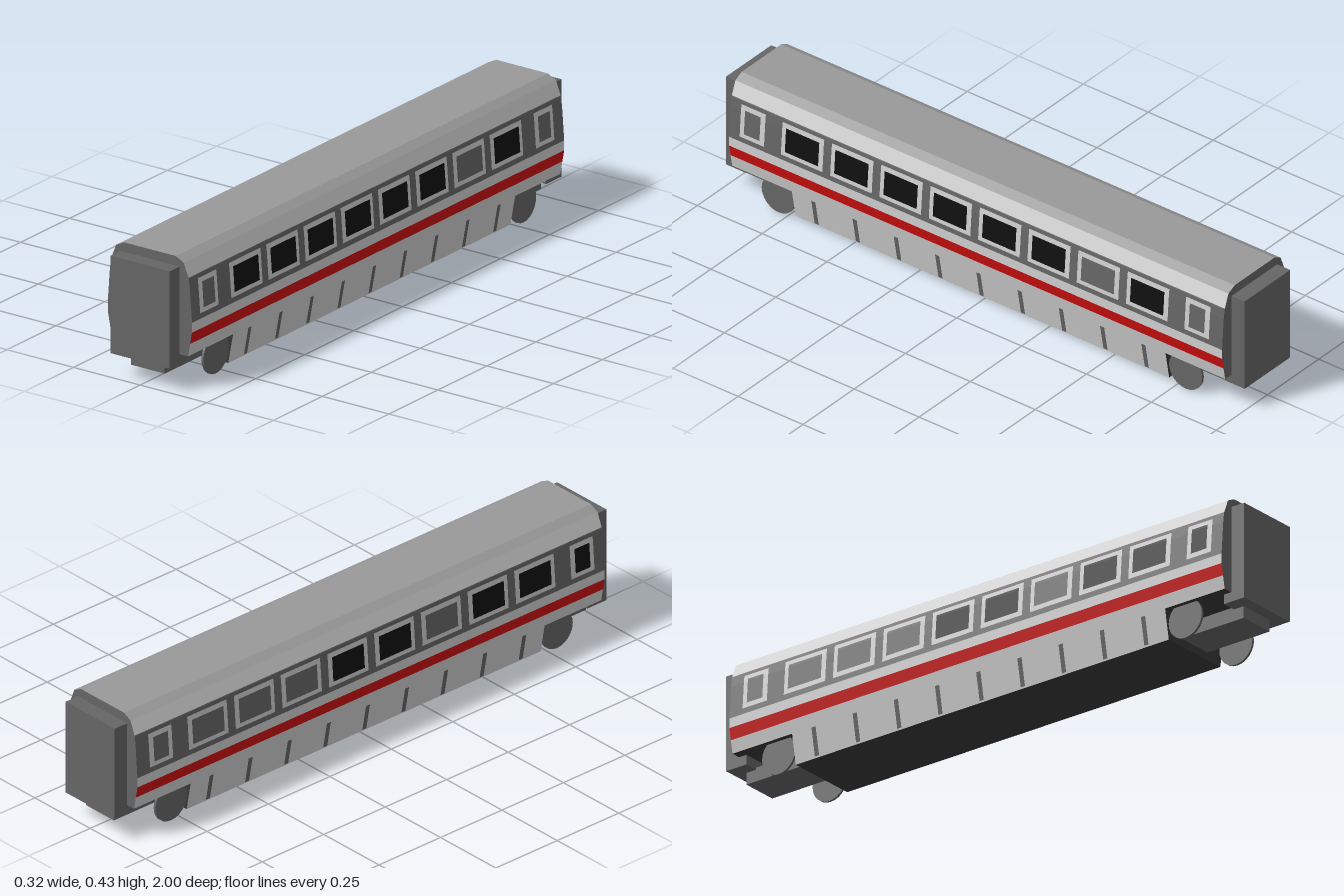
import * as THREE from 'three';

const mat = (name, color) => {
  const m = new THREE.MeshStandardMaterial({ color, side: THREE.DoubleSide });
  m.name = name;
  return m;
};

// Half cross-section of the carriage, as [x, y] from the skirt up to the roof
const PROFILE = [[0.125, 0.013], [0.158, 0.19], [0.158, 0.222], [0.15, 0.33],
  [0.146, 0.362], [0.127, 0.41], [0.097, 0.425]];
const HALF = 0.95, SKIRT = 0.72, SILL = 0.11, BOTTOM = 0.013;

function widthAt(y) {
  for (let i = 1; i < PROFILE.length; i++) {
    const [x0, y0] = PROFILE[i - 1], [x1, y1] = PROFILE[i];
    if (y <= y1) return x0 + (x1 - x0) * (y - y0) / (y1 - y0);
  }
  return PROFILE[PROFILE.length - 1][0];
}

// Side panel that follows the cross-section between two heights
function panelGeometry(side, y0, y1, z0, z1, lift = 0) {
  const ys = [y0, ...PROFILE.map(p => p[1]).filter(y => y > y0 && y < y1), y1];
  const pos = [];
  for (let i = 1; i < ys.length; i++) {
    const a = ys[i - 1], b = ys[i];
    const xa = side * (widthAt(a) + lift), xb = side * (widthAt(b) + lift);
    const [s, e] = side > 0 ? [z1, z0] : [z0, z1];
    pos.push(xa, a, s, xa, a, e, xb, b, e, xa, a, s, xb, b, e, xb, b, s);
  }
  const g = new THREE.BufferGeometry();
  g.setAttribute('position', new THREE.Float32BufferAttribute(pos, 3));
  g.computeVertexNormals();
  return g;
}

// Flat cross-section closing the carriage between two heights
function sectionGeometry(y0, y1) {
  const half = [[widthAt(y0), y0], ...PROFILE.filter(p => p[1] > y0 && p[1] < y1), [widthAt(y1), y1]];
  const all = [...half, ...half.slice().reverse().map(([x, y]) => [-x, y])];
  return new THREE.ShapeGeometry(new THREE.Shape(all.map(p => new THREE.Vector2(...p))));
}

export function createModel() {
  const light = mat('lightPaint', 0xd0d0d0);
  const red = mat('redPaint', 0xd01010);
  const grey = mat('darkGrey', 0x666666);
  const roof = mat('roofGrey', 0x999999);
  const under = mat('underside', 0x383838);
  const glass = mat('blackGlass', 0x101010);

  const model = new THREE.Group();
  model.name = 'passengerCarriage';
  const add = (name, geo, material, x = 0, y = 0, z = 0) => {
    const m = new THREE.Mesh(geo, material);
    m.name = name;
    m.position.set(x, y, z);
    model.add(m);
    return m;
  };

  // Painted bands, window openings and skirt slots on both sides
  const bands = [
    ['skirt', BOTTOM, SILL, light, SKIRT], ['lowerBand', SILL, 0.152, light, HALF],
    ['redStripe', 0.152, 0.19, red, HALF], ['waistBand', 0.19, 0.222, light, HALF],
    ['windowBand', 0.222, 0.365, grey, HALF], ['upperBand', 0.365, 0.41, light, HALF],
    ['roofEdge', 0.41, 0.425, roof, HALF],
  ];
  // Windows from the front to the back: 1 = clear glass, 0 = blanked pane
  const panes = { 1: [0, 1, 1, 1, 1, 1, 1, 0, 1, 0], '-1': [1, 1, 1, 0, 1, 1, 0, 0, 0, 0] };
  for (const side of [1, -1]) {
    for (const [name, y0, y1, m, h] of bands) add(name, panelGeometry(side, y0, y1, -h, h), m);

    panes[side].forEach((clear, i) => {
      const door = i === 0 || i === 9;
      const z = i === 0 ? 0.862 : i === 9 ? -0.852 : 0.67 - (i - 1) * 0.19;
      const w = door ? 0.047 : 0.08, p = door ? 0.03 : 0.064;
      add('windowFrame', panelGeometry(side, 0.24, 0.352, z - w, z + w, 0.002), light);
      add('windowPane', panelGeometry(side, 0.255, 0.337, z - p, z + p, 0.004), clear ? glass : grey);
    });

    for (let i = -4; i <= 4; i++) {
      const z = i * 0.159;
      add('skirtSlot', panelGeometry(side, 0.018, 0.108, z - 0.008, z + 0.008, 0.002), grey);
    }
  }

  // Flat roof top and floor
  const flat = (w, d) => new THREE.PlaneGeometry(w, d).rotateX(-Math.PI / 2);
  add('roofTop', flat(0.194, 2 * HALF), roof, 0, 0.425, 0);
  add('skirtFloor', flat(0.25, 2 * SKIRT).rotateZ(Math.PI), under, 0, BOTTOM, 0);

  // Parts repeated at each end
  for (const end of [1, -1]) {
    const turn = end > 0 ? 0 : Math.PI;
    add('endWall', sectionGeometry(SILL, 0.425), grey, 0, 0, end * HALF).rotation.y = turn;
    add('skirtEnd', sectionGeometry(BOTTOM, SILL), under, 0, 0, end * SKIRT).rotation.y = turn;
    add('endFloor', flat(2 * widthAt(SILL), HALF - SKIRT).rotateZ(Math.PI), under,
      0, SILL, end * (HALF + SKIRT) / 2);
    add('gangway', new THREE.BoxGeometry(0.222, 0.316, 0.078), grey, 0, 0.236, end * 0.961);
    add('coupler', new THREE.BoxGeometry(0.126, 0.046, 0.24), grey, 0, 0.062, end * 0.84);
    for (const side of [1, -1]) {
      const wheel = new THREE.CylinderGeometry(0.064, 0.064, 0.008, 24).rotateZ(Math.PI / 2);
      add('wheel', wheel, grey, side * 0.123, 0.064, end * 0.785);
    }
  }
  return model;
}
